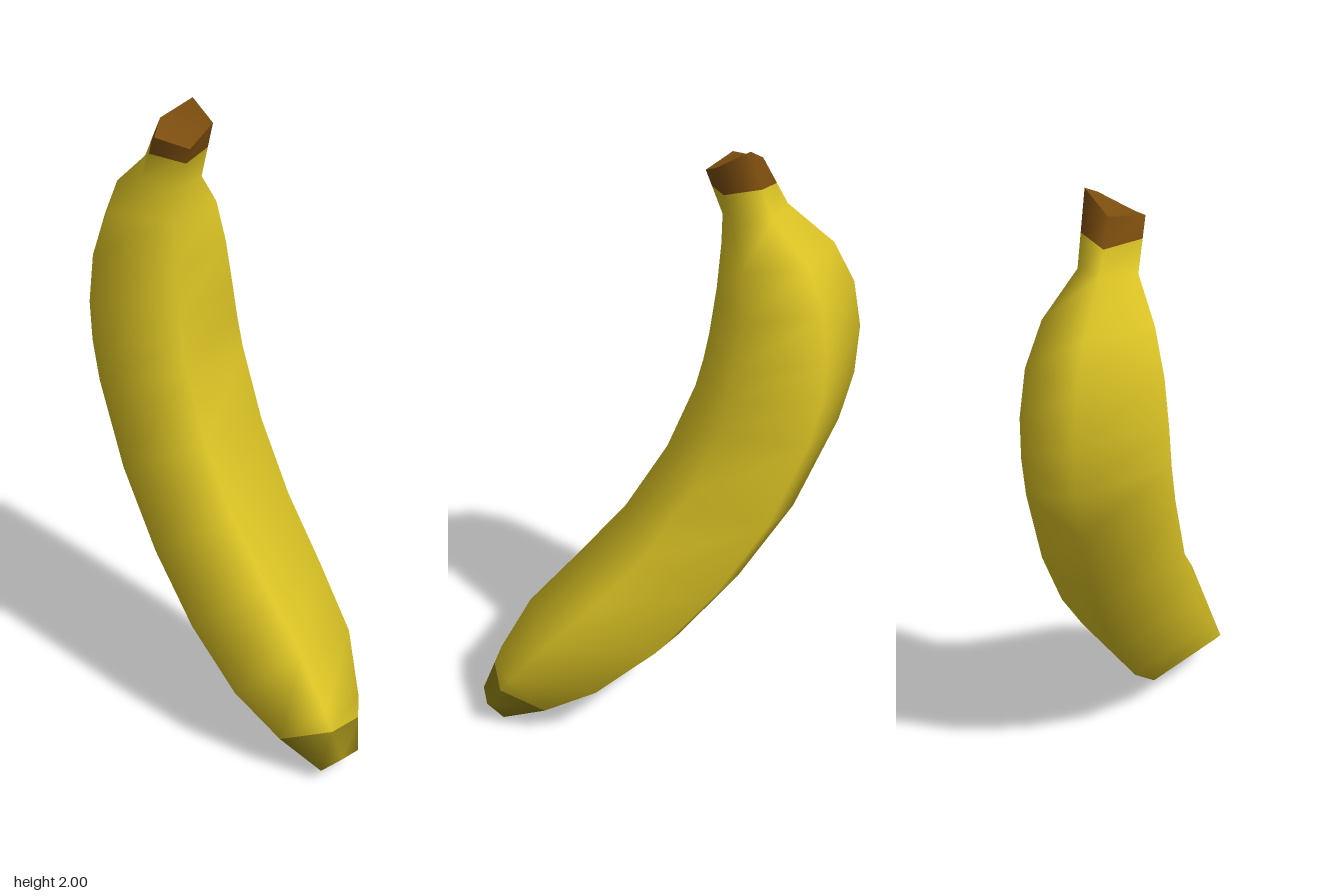
import * as THREE from 'three';
import { mergeVertices } from 'three/addons/utils/BufferGeometryUtils.js';

// Each ring: outer edge x, y, inner edge x, y, half depth
const RINGS = [
  [-0.285, 1.945, -0.125, 1.905, 0.083],
  [-0.36, 1.80, -0.175, 1.765, 0.083],
  [-0.50, 1.67, -0.175, 1.66, 0.155],
  [-0.565, 1.54, -0.165, 1.515, 0.192],
  [-0.59, 1.39, -0.145, 1.36, 0.208],
  [-0.58, 1.23, -0.128, 1.27, 0.212],
  [-0.54, 1.07, -0.105, 1.18, 0.214],
  [-0.41, 0.76, -0.02, 0.97, 0.215],
  [-0.24, 0.50, 0.11, 0.76, 0.214],
  [-0.05, 0.28, 0.26, 0.59, 0.210],
  [0.15, 0.125, 0.42, 0.42, 0.190],
  [0.34, 0.045, 0.52, 0.25, 0.132],
  [0.50, 0.005, 0.585, 0.10, 0.062],
];

// Five-sided section: position from outer to inner edge, depth, lift at the cut stem end
const SECTION = [
  [0, 0, 0], [0.47, 1, 0.005], [1, 0.25, 0], [0.9, -0.95, 0.045], [0.3, -1, 0.068],
];

// Point on lengthwise ridge k at fractional ring t
function ridgePoint(t, k) {
  const at = (i) => {
    const [ox, oy, ix, iy, d] = RINGS[i];
    const [s, z, lift] = SECTION[k];
    return new THREE.Vector3(ox + (ix - ox) * s, oy + (iy - oy) * s + (i === 0 ? lift : 0), z * d);
  };
  const i = Math.min(Math.floor(t), RINGS.length - 2);
  return at(i).lerp(at(i + 1), t - i);
}

const level = (t) => [t, t, t, t, t];

// Flat fan closing one end
function endCap(t, up, material, name) {
  const pts = SECTION.map((_, k) => ridgePoint(t, k));
  if (!up) pts.reverse();
  const g = new THREE.BufferGeometry().setFromPoints(pts);
  g.setIndex([0, 1, 2, 0, 2, 3, 0, 3, 4]);
  g.computeVertexNormals();
  const mesh = new THREE.Mesh(g, material);
  mesh.name = name;
  return mesh;
}

export function createModel() {
  const make = (name, color) => {
    const m = new THREE.MeshStandardMaterial({ color });
    m.name = name;
    return m;
  };
  const brown = make('stem brown', 0x80500f);
  const yellow = make('peel yellow', 0xe0c826);
  const olive = make('tip olive', 0x928216);

  // Rows of ring positions; uneven rows mark the ragged colour borders
  const rows = [level(0), [0.55, 0.4, 0.36, 0.45, 0.55]];
  const stemEnd = rows.length - 1;
  for (let i = 1; i <= 10; i++) rows.push(level(i));
  rows.push([10, 11, 11, 11, 11], [10, 11, 11.4, 11.4, 11]);
  const tipStart = rows.length - 1;
  rows.push([11, 11, 11.4, 11.4, 11], level(12));

  const points = rows.flatMap((row) => row.map((t, k) => ridgePoint(t, k)));
  const index = [];
  for (let r = 0; r < rows.length - 1; r++) {
    for (let k = 0; k < 5; k++) {
      const a = r * 5 + k, b = r * 5 + (k + 1) % 5;
      index.push(a, a + 5, b, b, a + 5, b + 5);
    }
  }
  let skin = new THREE.BufferGeometry().setFromPoints(points);
  skin.setIndex(index);
  skin = mergeVertices(skin, 1e-5);
  skin.computeVertexNormals();

  // Stem, peel and tip colour bands (30 indices per row)
  skin.clearGroups();
  skin.addGroup(0, stemEnd * 30, 0);
  skin.addGroup(stemEnd * 30, (tipStart - stemEnd) * 30, 1);
  skin.addGroup(tipStart * 30, (rows.length - 1 - tipStart) * 30, 2);

  const peel = new THREE.Mesh(skin, [brown, yellow, olive]);
  peel.name = 'peel';

  const group = new THREE.Group();
  group.name = 'banana';
  group.add(peel, endCap(0, true, brown, 'stemCut'), endCap(12, false, olive, 'blossomEnd'));
  return group;
}
